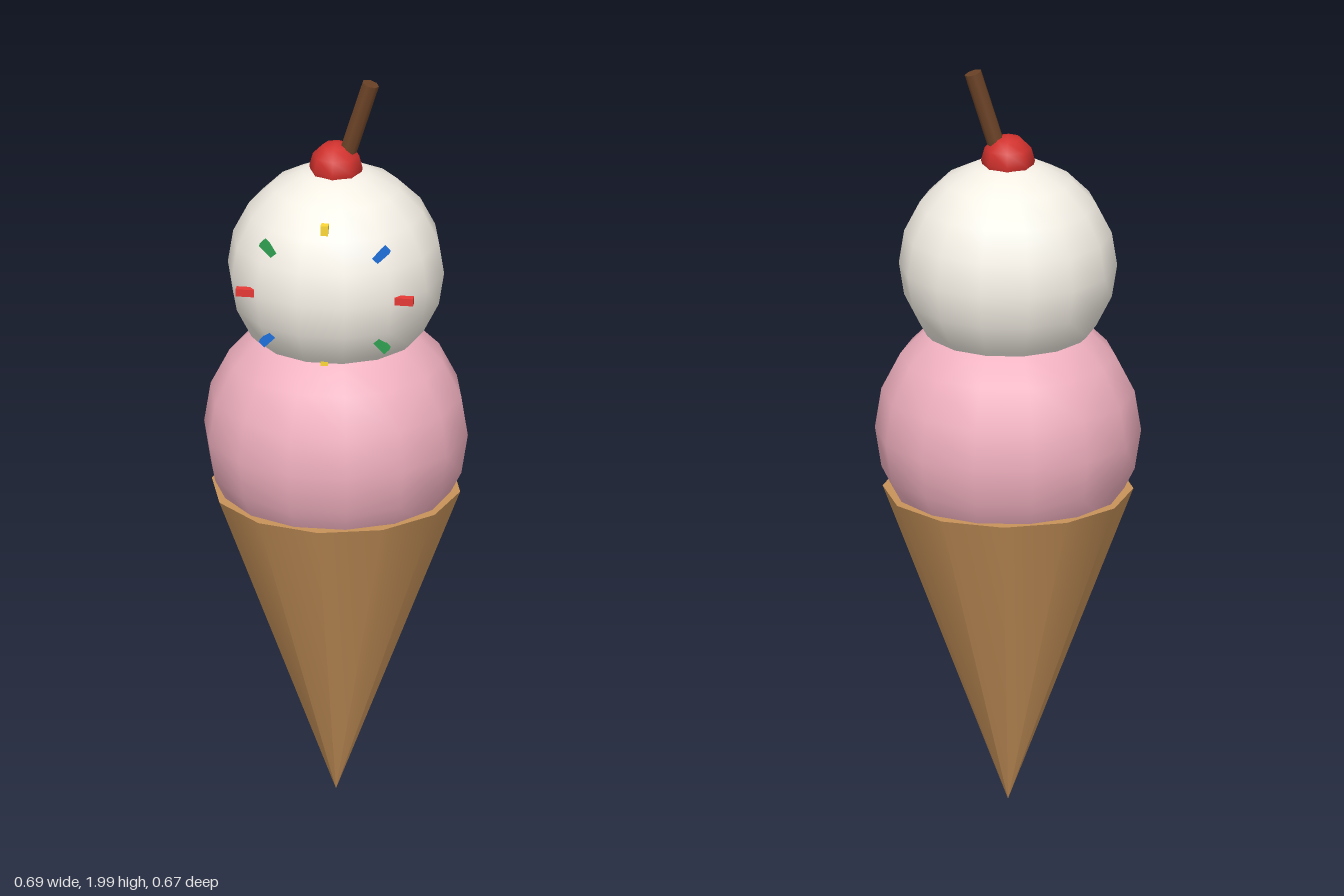
import * as THREE from 'three';

const paint = (color) => new THREE.MeshStandardMaterial({ color });

export function createModel() {
  const group = new THREE.Group();
  const add = (name, geometry, color, x, y, z) => {
    const mesh = new THREE.Mesh(geometry, paint(color));
    mesh.name = name;
    mesh.position.set(x, y, z);
    group.add(mesh);
    return mesh;
  };

  // Wafer cone, point down, closed at the rim
  const cone = new THREE.CylinderGeometry(0.325, 0, 0.855, 12);
  add('cone', cone, 0xc8935a, 0, 0.4325, 0);

  // Two scoops and the cherry
  add('lowerScoop', new THREE.SphereGeometry(0.345, 14, 10), 0xf0b0bf, 0, 1.02, 0);
  add('upperScoop', new THREE.SphereGeometry(0.283, 14, 10), 0xf5f0e6, 0, 1.472, 0);
  add('cherry', new THREE.SphereGeometry(0.07, 8, 6), 0xd0312d, 0, 1.755, 0);

  // Stick leaning towards +x
  const stick = add('stick', new THREE.CylinderGeometry(0.023, 0.023, 0.26, 7), 0x6b4226, 0.052, 1.869, 0);
  stick.rotation.set(0, Math.PI / 2, 0);
  stick.rotation.order = 'ZYX';
  stick.rotation.z = -0.3;

  // Ring of sprinkles on the front, each pointing outwards
  const colors = [0xe53935, 0x1e6fd9, 0xfdd835, 0x2e9e4f];
  const sprinkle = new THREE.BoxGeometry(0.048, 0.02, 0.021);
  for (let i = 0; i < 8; i++) {
    const a = (i * Math.PI) / 4;
    const mesh = add('sprinkle' + (i + 1), sprinkle, colors[i % 4],
      0.208 * Math.cos(a), 1.475 + 0.177 * Math.sin(a), 0.2025);
    mesh.rotation.z = a;
  }
  return group;
}
